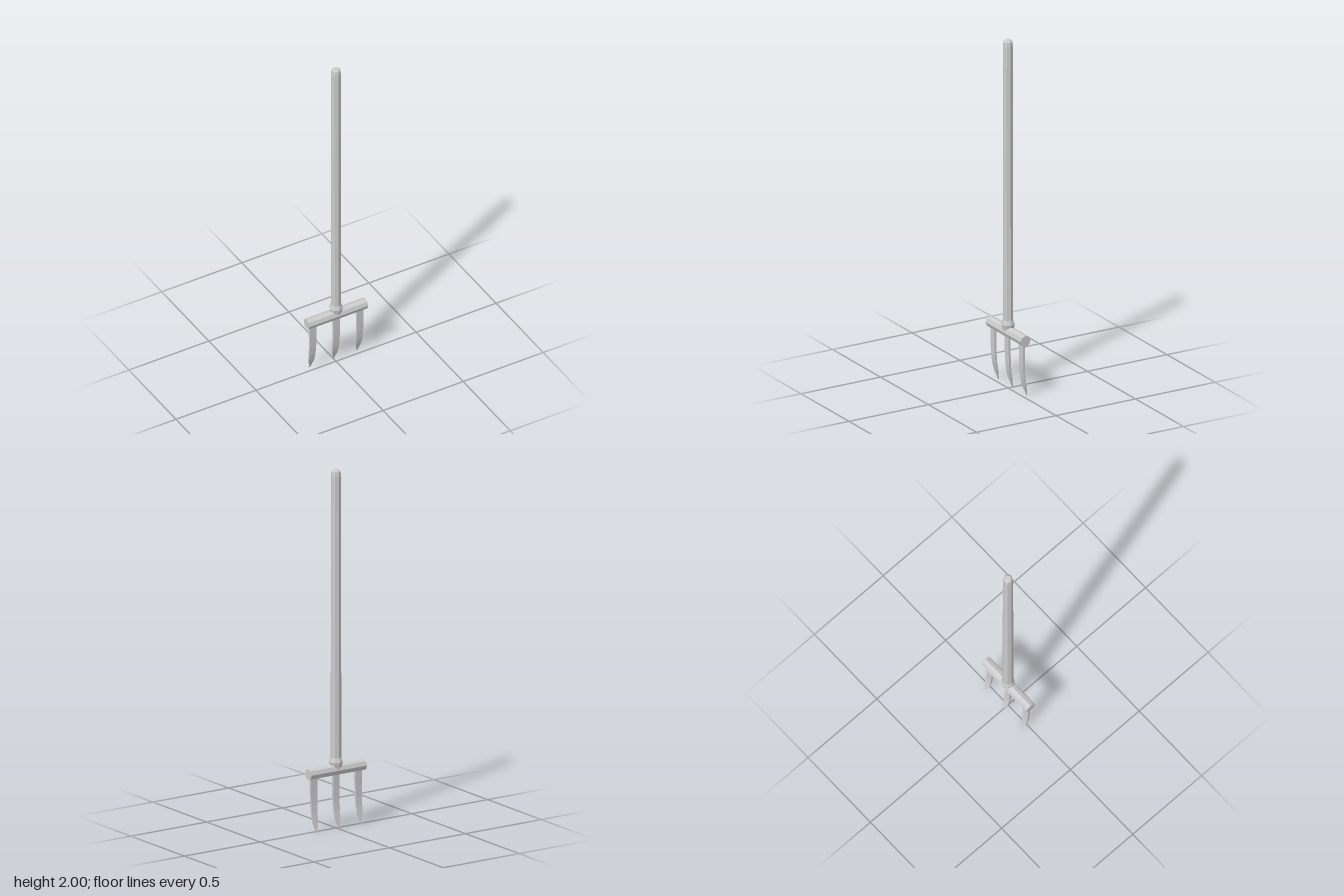
import * as THREE from 'three';

const material = new THREE.MeshStandardMaterial({ color: 0xcccccc, flatShading: true });

function addMesh(parent, name, geometry) {
  const mesh = new THREE.Mesh(geometry, material);
  mesh.name = name;
  parent.add(mesh);
  return mesh;
}

// Eight-sided turned part; profile runs bottom to top as [radius, y]
function turned(profile) {
  return new THREE.LatheGeometry(profile.map(([r, y]) => new THREE.Vector2(r, y)), 8);
}

// Flat tine that curves backward and ends in a point
function tineGeometry() {
  // y, z centre, width, thickness
  const rows = [
    [0.0, -0.029, 0.004, 0.003],
    [0.06, -0.013, 0.034, 0.009],
    [0.1, -0.005, 0.037, 0.011],
    [0.15, 0.0, 0.039, 0.012],
    [0.22, 0.002, 0.041, 0.013],
    [0.32, 0.002, 0.043, 0.013],
  ];
  const steps = rows.length - 1;
  const geometry = new THREE.BoxGeometry(1, 1, 1, 1, steps, 1);
  const pos = geometry.attributes.position;
  for (let i = 0; i < pos.count; i++) {
    const [y, z, width, thickness] = rows[Math.round((pos.getY(i) + 0.5) * steps)];
    pos.setXYZ(i, pos.getX(i) * width, y, z + pos.getZ(i) * thickness);
  }
  geometry.computeVertexNormals();
  return geometry;
}

export function createModel() {
  const model = new THREE.Group();
  model.name = 'handFork';

  // Long shaft with a bevelled top end
  addMesh(model, 'handle', turned([
    [0, 0.34], [0.029, 0.34], [0.028, 1.965], [0.025, 1.99], [0.015, 2], [0, 2],
  ]));

  // Flared socket joining the shaft to the bar
  addMesh(model, 'socket', turned([
    [0, 0.325], [0.027, 0.325], [0.038, 0.37], [0.029, 0.395], [0, 0.395],
  ]));

  // Horizontal bar
  const bar = addMesh(model, 'crossbar', new THREE.CylinderGeometry(0.031, 0.031, 0.366, 8));
  bar.rotation.z = Math.PI / 2;
  bar.position.y = 0.326;

  // Three tines
  const tine = tineGeometry();
  for (const x of [-0.147, 0, 0.147]) {
    addMesh(model, 'tine', tine).position.x = x;
  }

  return model;
}
